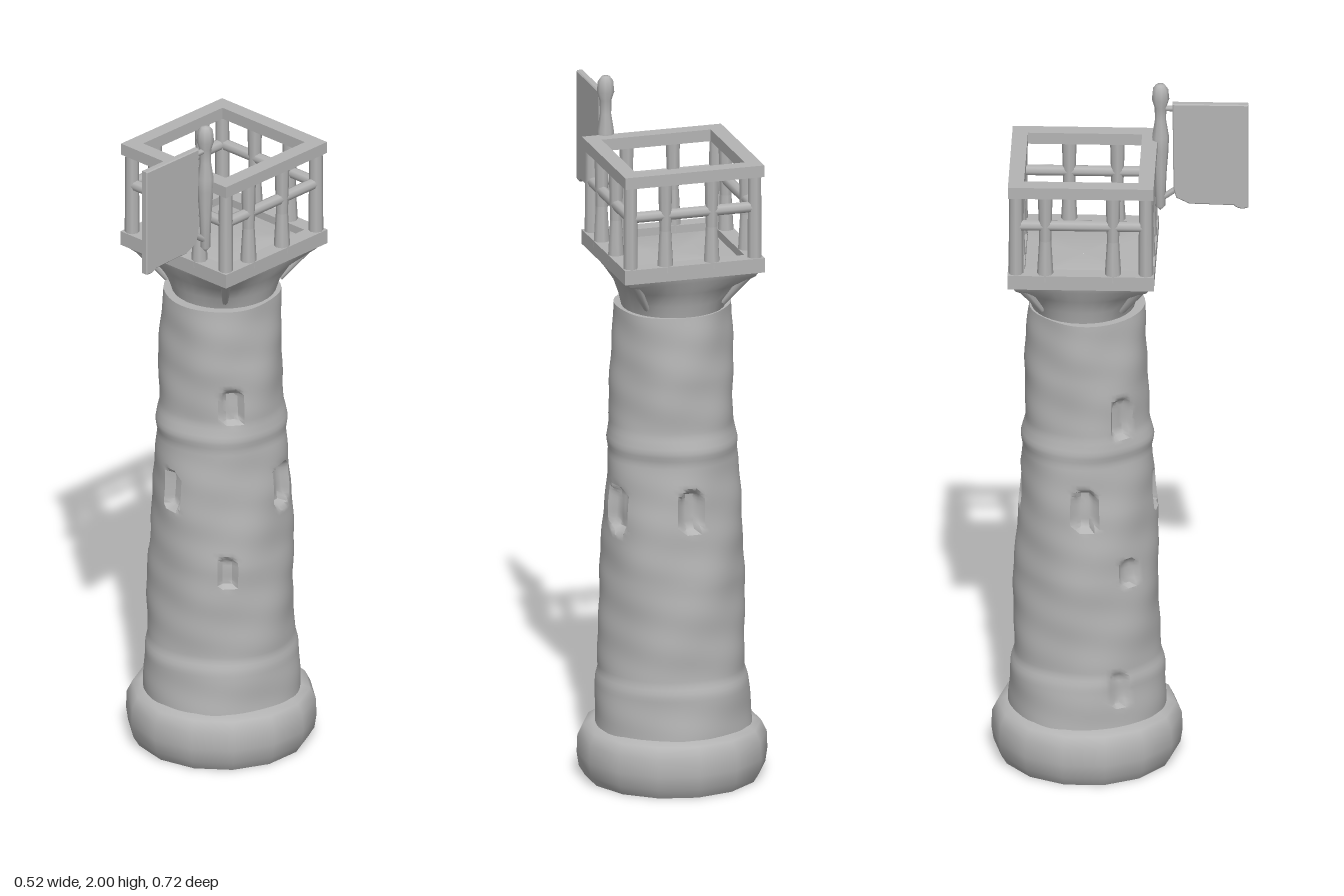
import * as THREE from 'three';
import { mergeVertices, toCreasedNormals } from 'three/addons/utils/BufferGeometryUtils.js';

const CZ = -0.093; // tower axis
const TZ = -0.104; // lookout platform centre
const HALF = 0.182; // rail centre line

export function createModel() {
  const model = new THREE.Group();
  const stone = new THREE.MeshStandardMaterial({ color: 0xb4b4b4 });
  stone.name = 'grey stone';

  const add = (name, geometry, parent = model) => {
    const mesh = new THREE.Mesh(geometry, stone);
    mesh.name = name;
    parent.add(mesh);
    return mesh;
  };
  const v2 = (list) => list.map(([r, y]) => new THREE.Vector2(r, y));
  const weld = (geometry) => {
    geometry.deleteAttribute('uv');
    geometry.deleteAttribute('normal');
    return mergeVertices(geometry, 1e-4);
  };

  // Rounded footing with a dished underside
  const base = weld(new THREE.LatheGeometry(v2([
    [0, 0.035], [0.15, 0.03], [0.19, 0.008], [0.245, 0.002], [0.262, 0.03],
    [0.268, 0.07], [0.266, 0.12], [0.25, 0.152], [0.225, 0.162], [0.19, 0.163],
  ]), 14));
  add('base', toCreasedNormals(base, 0.8)).position.z = CZ;

  // Weathered tapering shaft with sunken windows and chipped patches
  const profile = [
    [0.222, 0.15], [0.216, 0.29], [0.207, 0.32], [0.202, 0.6], [0.192, 0.8], [0.181, 0.96],
    [0.186, 0.99], [0.175, 1.04], [0.173, 1.2], [0.167, 1.32], [0.163, 1.385],
  ];
  const radiusAt = (y) => {
    let i = 0;
    while (i < profile.length - 2 && profile[i + 1][1] < y) i++;
    const [[r0, y0], [r1, y1]] = [profile[i], profile[i + 1]];
    return THREE.MathUtils.lerp(r0, r1, (y - y0) / (y1 - y0));
  };
  // angle, height, half width, half height, depth
  const dents = [
    [-0.05, 0.815, 0.028, 0.055, 0.03],
    [Math.PI / 2 + 0.32, 0.81, 0.038, 0.066, 0.03],
    [Math.PI, 0.82, 0.03, 0.06, 0.03],
    [-Math.PI / 2, 0.82, 0.03, 0.06, 0.03],
    [0.85, 0.59, 0.025, 0.045, 0.018],
    [0.95, 1.09, 0.03, 0.05, 0.022],
    [-0.95, 1.09, 0.03, 0.06, 0.02],
    [-0.9, 0.62, 0.025, 0.04, 0.015],
    [-1.1, 0.27, 0.025, 0.05, 0.015],
  ];
  const outline = [[0, 0.15]];
  const ROWS = 110;
  for (let i = 0; i <= ROWS; i++) {
    const y = 0.15 + (1.235 * i) / ROWS;
    outline.push([radiusAt(y), y]);
  }
  outline.push([0, 1.385]);
  const shaft = weld(new THREE.LatheGeometry(v2(outline), 88));
  const p = shaft.attributes.position;
  for (let i = 0; i < p.count; i++) {
    const x = p.getX(i), y = p.getY(i), z = p.getZ(i);
    const r = Math.hypot(x, z);
    if (r < 0.01) continue;
    const a = Math.atan2(x, z);
    let d = 0.0025 * Math.sin(3 * a + 9 * y) + 0.002 * Math.sin(5 * a - 17 * y + 1)
      + 0.002 * Math.sin(4 * a + 31 * y) * Math.sin(23 * y - 2 * a);
    for (const [da, dy, w, h, depth] of dents) {
      const off = Math.atan2(Math.sin(a - da), Math.cos(a - da)) * r;
      const q = (off / w) ** 4 + ((y - dy) / h) ** 4;
      d -= depth * (1 - THREE.MathUtils.smoothstep(q, 0.3, 1.4));
    }
    p.setXYZ(i, x * (1 + d / r), y, z * (1 + d / r));
  }
  add('shaft', toCreasedNormals(shaft, 0.75)).position.z = CZ;

  // Flared support blending from a round neck to a square floor: y, radius, squareness
  const rings = [[1.38, 0.001, 0], [1.38, 0.145, 0], [1.42, 0.154, 0.1], [1.46, 0.167, 0.35],
    [1.5, 0.192, 0.85], [1.525, 0.198, 1], [1.535, 0.17, 1], [1.535, 0.001, 1]];
  const N = 32, pos = [], index = [];
  rings.forEach(([y, r, sq], j) => {
    for (let i = 0; i < N; i++) {
      const a = (i / N) * Math.PI * 2, s = Math.sin(a), c = Math.cos(a);
      const k = r * THREE.MathUtils.lerp(1, 1 / Math.max(Math.abs(s), Math.abs(c)), sq);
      pos.push(s * k, y, c * k);
      if (j < rings.length - 1) {
        const m = j * N + i, n = j * N + ((i + 1) % N);
        index.push(m, n, n + N, m, n + N, m + N);
      }
    }
  });
  const flare = new THREE.BufferGeometry();
  flare.setAttribute('position', new THREE.Float32BufferAttribute(pos, 3));
  flare.setIndex(index);
  add('flaredSupport', toCreasedNormals(flare, 0.7)).position.z = TZ;

  // Bar between two points
  const beam = (name, from, to, r0, r1, parent, sides = 8) => {
    const a = new THREE.Vector3(...from), b = new THREE.Vector3(...to);
    const dir = b.clone().sub(a);
    const mesh = add(name, new THREE.CylinderGeometry(r1, r0, dir.length(), sides), parent);
    mesh.position.copy(a).add(b).multiplyScalar(0.5);
    mesh.quaternion.setFromUnitVectors(new THREE.Vector3(0, 1, 0), dir.normalize());
    return mesh;
  };

  // Square lookout cage
  const cage = new THREE.Group();
  cage.name = 'lookoutCage';
  cage.position.z = TZ;
  model.add(cage);
  // intermediate post offsets along each side: front, left, back, right
  const posts = [[-0.056, 0.08], [-0.09, 0.045], [-0.08, 0.056], [-0.1, 0.09]];
  posts.forEach((offsets, s) => {
    const side = new THREE.Group();
    side.name = 'railingSide' + (s + 1);
    side.rotation.y = (s * Math.PI) / 2;
    cage.add(side);
    const rail = (name, y, h, t) => {
      const mesh = add(name, new THREE.BoxGeometry(2 * HALF + t, h, t), side);
      mesh.position.set(0, y, HALF);
    };
    rail('bottomRail', 1.537, 0.042, 0.046);
    rail('topRail', 1.813, 0.034, 0.044);
    beam('middleRail', [-HALF, 1.705, HALF], [HALF, 1.705, HALF], 0.016, 0.016, side);
    for (const x of offsets) {
      beam('railPost', [x, 1.54, HALF], [x, 1.66, HALF], 0.024, 0.017, side);
      beam('railPost', [x, 1.66, HALF], [x, 1.81, HALF], 0.017, 0.021, side);
    }
    beam('cornerPost', [HALF, 1.54, HALF], [HALF, 1.81, HALF], 0.021, 0.019, side);
    beam('cornerBracket', [0.112, 1.41, 0.112], [0.178, 1.525, 0.178], 0.008, 0.018, side, 6);
  });

  // Knotted flag pole
  const pole = new THREE.LatheGeometry(v2([
    [0, 1.61], [0.014, 1.625], [0.017, 1.72], [0.023, 1.8], [0.024, 1.84], [0.016, 1.89],
    [0.017, 1.93], [0.025, 1.955], [0.022, 1.985], [0.012, 1.998], [0, 2.0],
  ]), 9);
  add('flagPole', pole).position.set(0.132, 0, 0.108);

  // Stiff hanging flag, slightly ragged at the lower edge
  const cloth = new THREE.Shape();
  cloth.moveTo(0.145, 1.94);
  cloth.lineTo(0.352, 1.94);
  cloth.lineTo(0.352, 1.628);
  cloth.quadraticCurveTo(0.33, 1.62, 0.315, 1.635);
  cloth.lineTo(0.19, 1.638);
  cloth.lineTo(0.155, 1.655);
  cloth.lineTo(0.148, 1.68);
  cloth.closePath();
  const flag = add('flag', new THREE.ExtrudeGeometry(cloth, {
    depth: 0.014, bevelEnabled: true, bevelThickness: 0.003, bevelSize: 0.003, bevelSegments: 1,
  }));
  flag.rotation.y = -Math.PI / 2;
  flag.position.x = 0.138;
  beam('upperFlagTie', [0.132, 1.925, 0.108], [0.132, 1.925, 0.15], 0.009, 0.009, model, 6);
  beam('lowerFlagTie', [0.132, 1.645, 0.108], [0.132, 1.675, 0.15], 0.009, 0.009, model, 6);

  return model;
}
